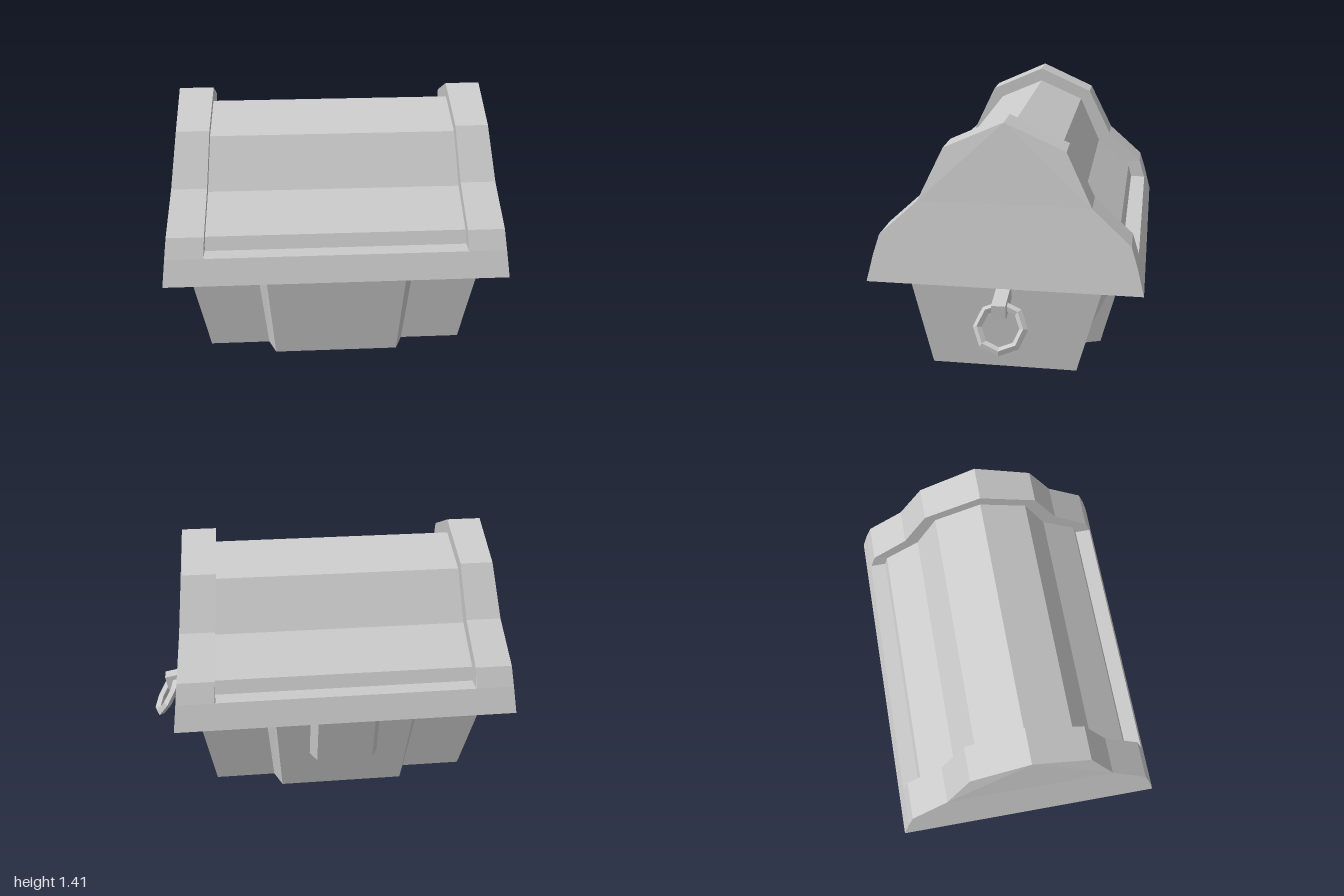
import * as THREE from 'three';

const material = new THREE.MeshStandardMaterial({ color: 0xcccccc, flatShading: true });
const MID = -0.075; // x centre of the chest; the ring handle sticks out at +x

// Closed solid between two matching rings; axis is the direction from ring a to ring b
function loft(a, b, axis) {
  const flat = {
    x: (p) => new THREE.Vector2(p[1], p[2]),
    y: (p) => new THREE.Vector2(p[2], p[0]),
    z: (p) => new THREE.Vector2(p[0], p[1]),
  }[axis];
  if (THREE.ShapeUtils.area(a.map(flat)) < 0) {
    a = [...a].reverse();
    b = [...b].reverse();
  }
  const pos = [];
  const tri = (...pts) => pts.forEach((p) => pos.push(...p));
  a.forEach((p, i) => {
    const j = (i + 1) % a.length;
    tri(p, a[j], b[j]);
    tri(p, b[j], b[i]);
  });
  for (const [i, j, k] of THREE.ShapeUtils.triangulateShape(a.map(flat), [])) tri(a[k], a[j], a[i]);
  for (const [i, j, k] of THREE.ShapeUtils.triangulateShape(b.map(flat), [])) tri(b[i], b[j], b[k]);
  const geometry = new THREE.BufferGeometry();
  geometry.setAttribute('position', new THREE.Float32BufferAttribute(pos, 3));
  geometry.computeVertexNormals();
  return geometry;
}

function part(name, geometry) {
  const mesh = new THREE.Mesh(geometry, material);
  mesh.name = name;
  return mesh;
}

// Half profile [z, y] from the front up to the ridge, mirrored to the back
function mirrorProfile(half) {
  const back = half.filter(([z]) => z > 0).map(([z, y]) => [-z, y]).reverse();
  return [...half, ...back];
}

// Plan outline of the tub at one height, with a middle section that stands proud
function tubOutline(y, end, step, mid, frontMid, frontEnd, backMid, backEnd) {
  const side = (zMid, zEnd) => [[-end, zEnd], [-step, zEnd], [-mid, zMid], [mid, zMid], [step, zEnd], [end, zEnd]];
  return [...side(frontMid, frontEnd), ...side(backMid, backEnd).reverse()].map(([x, z]) => [MID + x, y, z]);
}

export function createModel() {
  const group = new THREE.Group();
  group.name = 'chest';

  // Tapered tub
  group.add(part('tub', loft(
    tubOutline(0, 0.717, 0.385, 0.344, 0.533, 0.427, -0.48, -0.372),
    tubOutline(0.556, 0.81, 0.435, 0.383, 0.627, 0.523, -0.623, -0.515),
    'y',
  )));

  // Lid end caps: outer and inner faces lean inwards with height
  const capProfile = mirrorProfile([[0.722, 0.555], [0.685, 0.7], [0.65, 0.81], [0.447, 0.995], [0.312, 1.272], [0, 1.412]]);
  const outer = (y) => 0.922 - 0.083 * Math.min(1, (y - 0.555) / 0.72);
  const inner = (y) => 0.702 - 0.05 * Math.max(0, (y - 0.7) / 0.71);
  const capRing = (s, f) => capProfile.map(([z, y]) => [MID + s * f(y), y, z]);
  group.add(part('leftLidCap', loft(capRing(1, inner), capRing(1, outer), 'x')));
  group.add(part('rightLidCap', loft(capRing(-1, outer), capRing(-1, inner), 'x')));

  // Lid rim and faceted panel between the caps
  const between = (profile, half) => loft(
    profile.map(([z, y]) => [MID - half, y, z]),
    profile.map(([z, y]) => [MID + half, y, z]),
    'x',
  );
  group.add(part('lidRim', between(mirrorProfile([[0.722, 0.555], [0.685, 0.7]]), 0.702)));
  group.add(part('lidPanel', between(
    mirrorProfile([[0.6, 0.69], [0.578, 0.775], [0.378, 0.945], [0.257, 1.22], [0, 1.333]]), 0.7,
  )));

  // Bevelled plate on the back of the tub
  const plate = (half, zLow, zHigh) => [
    [MID - half, 0.25, zLow], [MID + half, 0.25, zLow],
    [MID + half, 0.556, zHigh], [MID - half, 0.556, zHigh],
  ];
  group.add(part('backPlate', loft(plate(0.155, -0.616, -0.694), plate(0.195, -0.535, -0.613), 'z')));

  // Handle: tilted bracket with a hanging eight-sided ring
  const bracket = part('handleBracket', new THREE.BoxGeometry(0.26, 0.085, 0.074));
  bracket.position.set(0.79, 0.476, 0.01);
  bracket.rotation.z = -0.19;
  group.add(bracket);

  const ring = part('handleRing', new THREE.TorusGeometry(0.121, 0.023, 4, 8));
  ring.rotation.set(0, Math.PI / 2, 0);
  const hinge = new THREE.Group();
  hinge.name = 'handle';
  hinge.position.set(0.918, 0.368, 0);
  hinge.rotation.z = 0.55;
  hinge.add(ring);
  group.add(hinge);

  return group;
}
